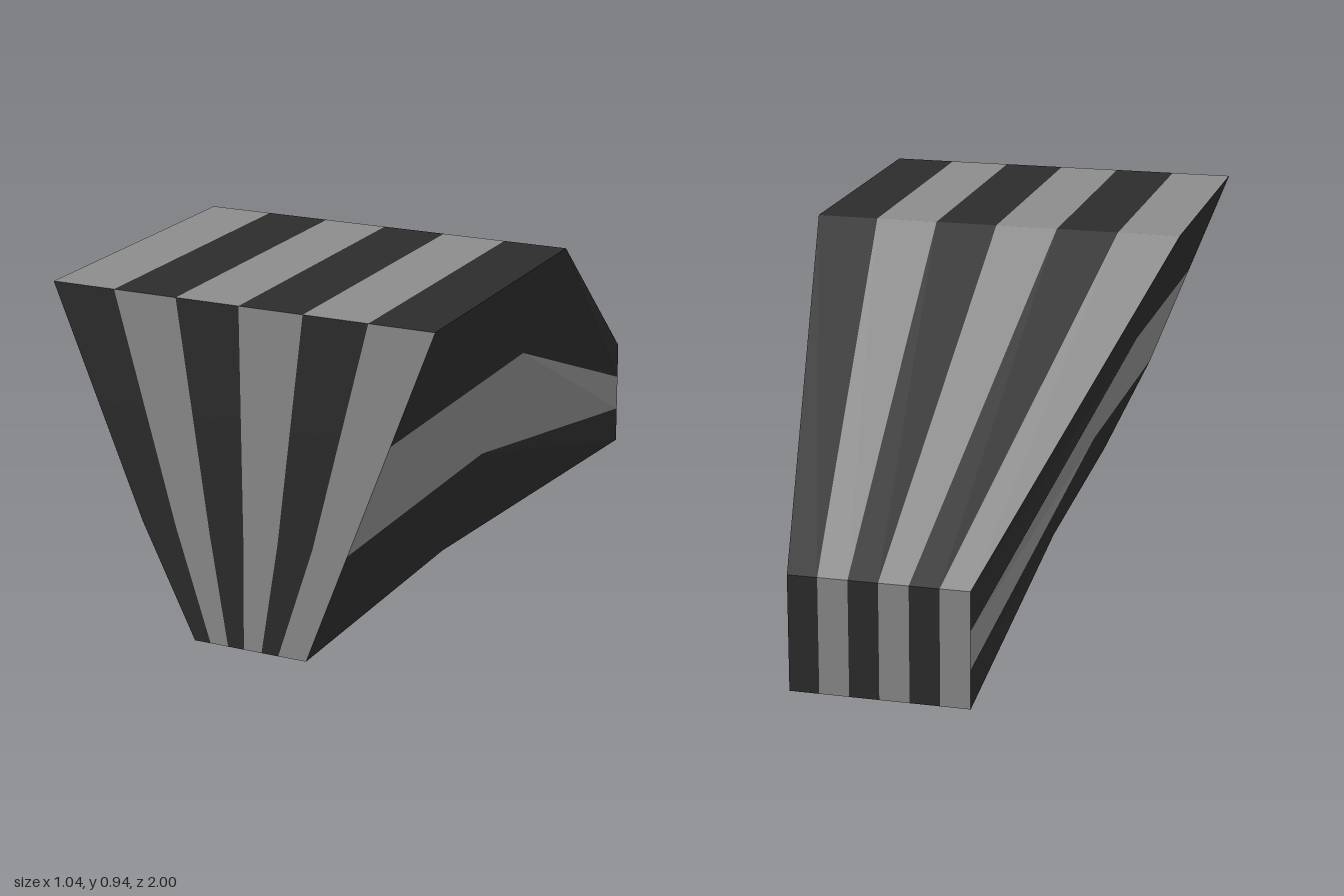
import * as THREE from 'three';

const light = new THREE.MeshStandardMaterial({ color: 0x8c8c8c, flatShading: true });
const dark = new THREE.MeshStandardMaterial({ color: 0x2c2c2c, flatShading: true });

// Cross-sections front to back: top and bottom half-widths and heights
const sections = [
  { z: 1, topX: 0.52, topY: 0.945, lowX: 0.17, lowY: 0.045 },
  { z: 0.18, topX: 0.52, topY: 0.945, lowX: 0.172, lowY: 0.045 },
  { z: -1, topX: 0.235, topY: 0.31, lowX: 0.235, lowY: 0 },
];
// The lower front edge is slightly uneven
const frontLowX = [-0.145, -0.1, -0.05, -0.005, 0.045, 0.092, 0.17];
const STRIPES = 6, BANDS = 3;
const range = (n) => Array.from({ length: n + 1 }, (_, i) => i);

// Point on a section: column c runs from -x to +x, band b from top to bottom
function point(s, c, b) {
  const { z, topX, topY, lowX, lowY } = sections[s];
  const t = b / BANDS;
  const half = THREE.MathUtils.lerp(topX, lowX, t);
  const x = s === 0 && b === BANDS ? frontLowX[c] : half * (2 * c / STRIPES - 1);
  return [x, THREE.MathUtils.lerp(topY, lowY, t), z];
}

// A panel of quads (rows downward, columns rightward seen from outside), split by colour
function panel(name, rows, isDark) {
  const group = new THREE.Group();
  group.name = name;
  const lists = { light: [], dark: [] };
  for (let r = 0; r < rows.length - 1; r++) {
    for (let c = 0; c < rows[r].length - 1; c++) {
      const a = rows[r][c], b = rows[r][c + 1];
      const d = rows[r + 1][c], e = rows[r + 1][c + 1];
      lists[isDark(r, c) ? 'dark' : 'light'].push(...a, ...d, ...e, ...a, ...e, ...b);
    }
  }
  for (const [shade, list] of Object.entries(lists)) {
    if (!list.length) continue;
    const geometry = new THREE.BufferGeometry();
    geometry.setAttribute('position', new THREE.Float32BufferAttribute(list, 3));
    geometry.computeVertexNormals();
    const mesh = new THREE.Mesh(geometry, shade === 'dark' ? dark : light);
    mesh.name = `${name} ${shade} stripes`;
    group.add(mesh);
  }
  return group;
}

export function createModel() {
  const model = new THREE.Group();
  model.name = 'stripedWedge';
  const columns = range(STRIPES), bands = range(BANDS);
  const reversed = [...columns].reverse();
  const even = (r, c) => c % 2 === 0;
  const odd = (r, c) => c % 2 === 1;
  const evenBand = (r) => r % 2 === 0;

  model.add(
    // Striped ends
    panel('front', bands.map((b) => columns.map((c) => point(0, c, b))), even),
    panel('back', bands.map((b) => reversed.map((c) => point(2, c, b))), even),
    // Striped top and plain underside
    panel('top', [2, 1, 0].map((s) => columns.map((c) => point(s, c, 0))), odd),
    panel('underside', [0, 1, 2].map((s) => columns.map((c) => point(s, c, BANDS))), () => true),
    // Banded sides
    panel('leftSide', bands.map((b) => [0, 1, 2].map((s) => point(s, STRIPES, b))), evenBand),
    panel('rightSide', bands.map((b) => [2, 1, 0].map((s) => point(s, 0, b))), evenBand),
  );
  return model;
}
